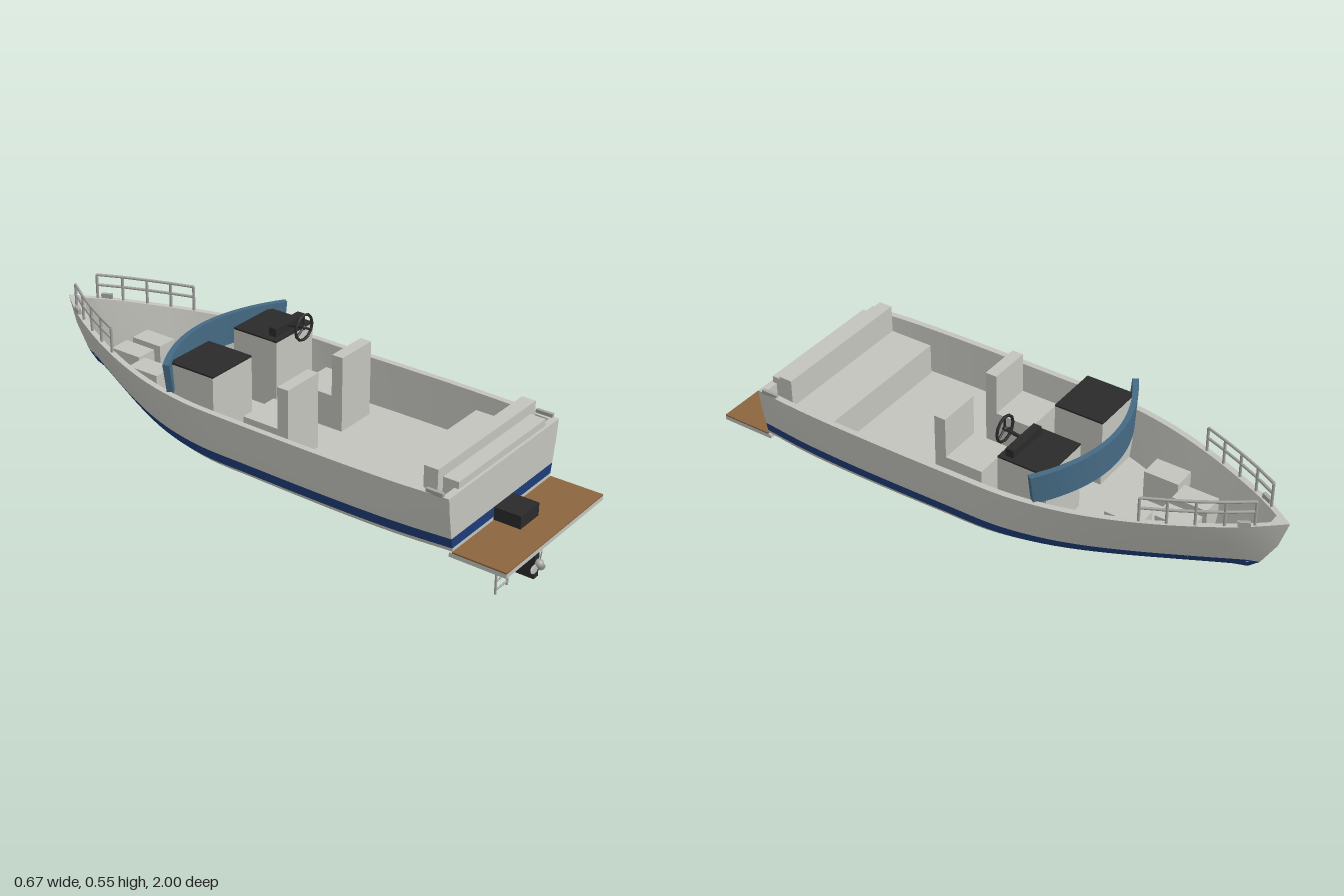
import * as THREE from 'three';
import { mergeGeometries } from 'three/addons/utils/BufferGeometryUtils.js';

const mat = (name, color, side = THREE.FrontSide) => {
  const m = new THREE.MeshStandardMaterial({ color, side });
  m.name = name;
  return m;
};
const V = (x, y, z) => new THREE.Vector3(x, y, z);

// Smooth surface through rows of points
function skin(rows) {
  const n = rows[0].length, idx = [];
  for (let i = 0; i < rows.length - 1; i++)
    for (let j = 0; j < n - 1; j++) {
      const a = i * n + j, b = a + 1, c = a + n, d = c + 1;
      idx.push(a, b, c, b, d, c);
    }
  const g = new THREE.BufferGeometry().setFromPoints(rows.flat());
  g.setIndex(idx);
  g.computeVertexNormals();
  return g;
}
// Same, with a sharp edge along every row
const creased = rows => mergeGeometries(rows.slice(1).map((r, i) => skin([rows[i], r])));

export function createModel() {
  const boat = new THREE.Group();
  boat.name = 'motorboat';
  const gel = mat('hullGrey', 0xc4c4be, THREE.DoubleSide);
  const blue = mat('stripeBlue', 0x1e3c78, THREE.DoubleSide);
  const glass = mat('tintedGlass', 0x456a84, THREE.DoubleSide);
  const dark = mat('darkTrim', 0x2a2a2a);
  const wood = mat('teak', 0x8b6540);
  const metal = mat('metal', 0xa6a6a4, THREE.DoubleSide);

  const add = (name, geo, m, parent = boat) => {
    const mesh = new THREE.Mesh(geo, m);
    mesh.name = name;
    parent.add(mesh);
    return mesh;
  };
  // Box given by its limits
  const box = (name, m, x0, x1, y0, y1, z0, z1, parent) => {
    const b = add(name, new THREE.BoxGeometry(x1 - x0, y1 - y0, z1 - z0), m, parent);
    b.position.set((x0 + x1) / 2, (y0 + y1) / 2, (z0 + z1) / 2);
    return b;
  };
  const rod = (name, a, b, r, m, parent) => {
    const c = add(name, new THREE.CylinderGeometry(r, r, a.distanceTo(b), 8), m, parent);
    c.position.copy(a).lerp(b, 0.5);
    c.quaternion.setFromUnitVectors(V(0, 1, 0), b.clone().sub(a).normalize());
    return c;
  };

  // Hull lines: half width along the length, s = 0 at the stern and 1 at the bow
  const plan = new THREE.CubicInterpolant(
    [0, 0.12, 0.45, 0.56, 0.67, 0.78, 0.89, 0.945, 1],
    [0.313, 0.328, 0.33, 0.325, 0.29, 0.223, 0.13, 0.072, 0], 1, new Float32Array(1));
  const width = s => Math.max(0, plan.evaluate(s)[0]);
  const sheerY = s => 0.378 + 0.042 * Math.max(0, (s - 0.4) / 0.6) ** 2;
  const N = 40;
  const line = (zBow, x, y, zStern = 0.81) => Array.from({ length: N + 1 }, (_, i) => {
    const s = i / N;
    return V(x(s), y(s), zStern + (zBow - zStern) * s);
  });
  const shaped = (k, p, extra = 0) => s => k * (width(s) / 0.33) ** p + extra;
  const level = y => () => y;
  const sAt = s => (0.81 - (0.785 - 1.73 * s)) / 1.81;

  const keel = line(-0.78, level(0), s => 0.09 + 0.082 * Math.max(0, (s - 0.6) / 0.4) ** 2);
  const chine = line(-0.85, shaped(0.3, 1.45), s => 0.182 + 0.009 * s);
  const low = line(-0.875, shaped(0.304, 1.35), level(0.196));
  const high = line(-0.915, shaped(0.311, 1.3), level(0.231));
  const mid = line(-0.968, shaped(0.323, 1.12), s => 0.31 + 0.01 * s);
  const sheer = line(-1, width, sheerY);
  const rim = line(-0.945, s => width(sAt(s)) - 0.022, s => sheerY(sAt(s)), 0.785);
  const floor = line(-0.88, shaped(0.275, 1.5, 0.01), level(0.22), 0.785);
  const flip = row => row.map(p => V(-p.x, p.y, p.z));

  for (const side of ['left', 'right']) {
    const put = (name, rows, m) =>
      add(side + name, skin(side === 'left' ? rows : rows.map(flip).reverse()), m);
    put('Bottom', [keel, chine], gel);
    put('ChineBand', [chine, low], gel);
    put('Stripe', [low, high], blue);
    put('Topside', [high, mid, sheer], gel);
    put('Gunwale', [sheer, rim], gel);
    put('InnerWall', [rim, floor], gel);
  }
  add('floor', skin([floor, flip(floor)]), gel);

  // Cross panels closing the stern and the inside of the bow
  const across = (row, i) => [V(-row[i].x, row[i].y, row[i].z), row[i]];
  const panel = (name, rows, i, m) => add(name, skin(rows.map(r => across(r, i))), m);
  panel('transomBottom', [keel, chine, low], 0, gel);
  panel('transomStripe', [low, high], 0, blue);
  panel('transomTop', [high, mid, sheer], 0, gel);
  panel('transomRim', [sheer, rim], 0, gel);
  panel('transomInside', [rim, floor], 0, gel);
  panel('bowInside', [floor, rim], N, gel);
  panel('bowCap', [rim, sheer], N, gel);

  // Rear bench
  box('benchSeat', gel, -0.275, 0.275, 0.22, 0.335, 0.53, 0.7);
  box('benchBack', gel, -0.275, 0.275, 0.22, 0.437, 0.695, 0.745);
  box('benchLedge', gel, -0.247, 0.247, 0.3, 0.402, 0.745, 0.8);

  for (const s of [-1, 1]) {
    // Consoles, chairs and bow seats
    const pair = (name, m, a, b, ...r) => box(name, m, Math.min(a * s, b * s), Math.max(a * s, b * s), ...r);
    pair('console', gel, 0.065, 0.262, 0.22, 0.462, -0.3, -0.12);
    pair('consoleTop', dark, 0.065, 0.262, 0.462, 0.468, -0.3, -0.12);
    pair('chairSeat', gel, 0.065, 0.222, 0.22, 0.34, -0.03, 0.14);
    pair('chairBack', gel, 0.065, 0.222, 0.22, 0.488, 0.108, 0.15);
    pair('bowSeat', gel, 0.08, 0.162, 0.22, 0.33, -0.575, -0.45);
    pair('forwardBowSeat', gel, 0.015, 0.092, 0.22, 0.33, -0.715, -0.59);

    // Cleats
    pair('sternCleat', metal, 0.305, 0.317, 0.376, 0.39, 0.73, 0.79);
    const cleat = box('bowCleat', metal, s * 0.075 - 0.006, s * 0.075 + 0.006, 0.41, 0.428, -0.905, -0.865);
    cleat.rotation.y = s * 0.5;

    // Bow rail: posts with a top and a middle bar
    const rail = new THREE.Group();
    rail.name = s > 0 ? 'leftBowRail' : 'rightBowRail';
    boat.add(rail);
    const posts = [0, 1, 2, 3, 4].map(i => {
      const z = -0.6 - 0.0775 * i, t = (0.81 - z) / 1.81;
      return V(s * (width(t) - 0.012), sheerY(t), z);
    });
    const up = (p, h) => V(p.x, p.y + h, p.z);
    posts.forEach((p, i) => {
      rod('railPost', p, up(p, 0.088), 0.005, metal, rail);
      if (i) for (const h of [0.05, 0.088])
        rod('railBar', up(posts[i - 1], h), up(p, h), 0.005, metal, rail);
    });
  }

  // Curved windshield
  const arc = (half, y, dz) => Array.from({ length: 25 }, (_, i) => {
    const t = i / 12 - 1;
    return V(half * t, y, -0.385 + 0.105 * t * t + dz);
  });
  const outer = [arc(0.302, 0.375, 0), arc(0.32, 0.485, 0)];
  const inner = [arc(0.29, 0.375, 0.018), arc(0.308, 0.485, 0.018)];
  const loop = [inner[0], inner[1], outer[1], outer[0], inner[0]];
  add('windshield', creased(loop), glass);
  for (const i of [0, 24])
    add('windshieldEnd', skin([[inner[0][i], outer[0][i]], [inner[1][i], outer[1][i]]]), glass);

  // Dashboard and steering wheel
  box('dashboard', dark, 0.09, 0.247, 0.465, 0.497, -0.17, -0.14);
  const wheel = new THREE.Group();
  wheel.name = 'steeringWheel';
  wheel.position.set(0.162, 0.495, -0.08);
  boat.add(wheel);
  add('wheelRim', new THREE.TorusGeometry(0.045, 0.005, 6, 12), dark, wheel);
  add('wheelHub', new THREE.SphereGeometry(0.009, 10, 8), dark, wheel);
  rod('wheelShaft', V(0, 0, 0), V(0, -0.01, -0.07), 0.006, dark, wheel);
  for (const a of [Math.PI / 2, Math.PI * 7 / 6, Math.PI * 11 / 6])
    rod('wheelSpoke', V(0, 0, 0), V(0.045 * Math.cos(a), 0.045 * Math.sin(a), 0), 0.004, dark, wheel);

  // Swim platform and ladder
  box('platform', gel, -0.285, 0.285, 0.165, 0.18, 0.8, 1);
  box('platformDeck', wood, -0.285, 0.285, 0.18, 0.185, 0.811, 1);
  for (const x of [-0.249, -0.184])
    rod('ladderRail', V(x, 0.072, 0.945), V(x, 0.166, 0.945), 0.004, metal);
  for (const y of [0.085, 0.116, 0.147])
    rod('ladderRung', V(-0.249, y, 0.945), V(-0.184, y, 0.945), 0.003, metal);

  // Stern drive
  box('driveHousing', dark, -0.053, 0.053, 0.15, 0.23, 0.805, 0.905);
  box('driveLeg', dark, -0.013, 0.013, 0, 0.165, 0.84, 0.94);
  const prop = new THREE.Group();
  prop.name = 'propeller';
  prop.position.set(0, 0.053, 0.948);
  boat.add(prop);
  add('propellerHub', new THREE.SphereGeometry(0.016, 16, 12), metal, prop);
  for (let i = 0; i < 3; i++) {
    const arm = new THREE.Group();
    arm.name = 'propellerBlade';
    arm.rotation.z = 1.25 + i * Math.PI * 2 / 3;
    prop.add(arm);
    const blade = add('blade', new THREE.SphereGeometry(1, 14, 10), metal, arm);
    blade.scale.set(0.02, 0.012, 0.002);
    blade.position.x = 0.029;
    blade.rotation.x = 0.5;
  }
  return boat;
}
